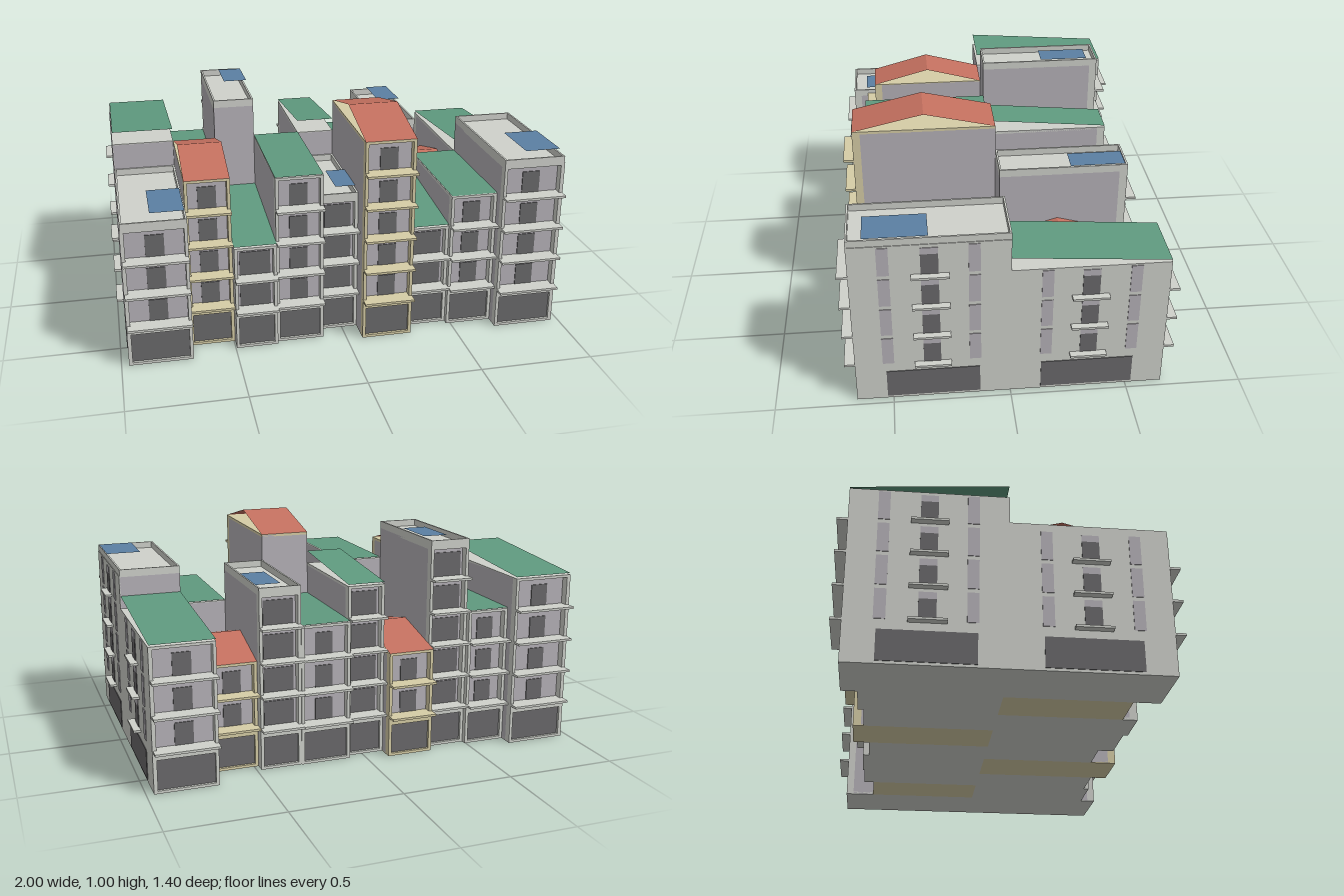
import * as THREE from 'three';

const mat = (name, color, double) => {
  const m = new THREE.MeshStandardMaterial({ color });
  m.name = name;
  if (double) m.side = THREE.DoubleSide;
  return m;
};
const M = {
  white: mat('pale plaster', 0xcfd1cb),
  grey: mat('grey wall', 0xb6b2b8),
  cream: mat('cream plaster', 0xd6cda6),
  dark: mat('dark glass', 0x6a696b),
  green: mat('green roof', 0x5f9a7f, true),
  red: mat('red roof', 0xc4705f, true),
  blue: mat('blue skylight', 0x5b80a3, true),
};

const GROUND = 0.18, STOREY = 0.15, RECESS = 0.035;

// Box given by its two corners, in any order
function box(parent, name, m, x0, x1, y0, y1, z0, z1) {
  const mesh = new THREE.Mesh(
    new THREE.BoxGeometry(Math.abs(x1 - x0), Math.abs(y1 - y0), Math.abs(z1 - z0)), m);
  mesh.position.set((x0 + x1) / 2, (y0 + y1) / 2, (z0 + z1) / 2);
  mesh.name = name;
  parent.add(mesh);
}

// Thin roof sheet between two z,y points, spanning x0..x1, facing up
function sheet(parent, name, m, x0, x1, za, ya, zb, yb) {
  if (za > zb) [za, ya, zb, yb] = [zb, yb, za, ya];
  const g = new THREE.BufferGeometry();
  g.setAttribute('position', new THREE.Float32BufferAttribute(
    [x0, ya, za, x1, ya, za, x0, yb, zb, x1, yb, zb], 3));
  g.setIndex([0, 2, 1, 1, 2, 3]);
  g.computeVertexNormals();
  const mesh = new THREE.Mesh(g, m);
  mesh.name = name;
  parent.add(mesh);
}

// One house of the row: s is +1 for the front row, -1 for the back row
function house({ x0, x1, s, depth, floors, roof, wide, sky }) {
  const g = new THREE.Group();
  g.name = (s > 0 ? 'front' : 'back') + 'House';
  const h = GROUND + floors * STOREY;
  const trim = roof === 'gable' ? M.cream : M.white;
  const zf = s * depth, zw = s * (depth - RECESS), xc = (x0 + x1) / 2;

  box(g, 'body', M.grey, x0, x1, 0.004, h - 0.004, 0, zw);
  box(g, 'foundation', trim, x0, x1, 0, 0.012, 0, zf);
  box(g, 'roofDeck', trim, x0, x1, h - 0.012, h, 0, zf);

  // Front frame: end piers and floor bands
  box(g, 'pier', trim, x0, x0 + 0.014, 0, h, zw, zf);
  box(g, 'pier', trim, x1 - 0.014, x1, 0, h, zw, zf);
  box(g, 'shopBand', trim, x0, x1, 0.147, GROUND, zw, zf);
  box(g, 'shopWindow', M.dark, x0 + 0.014, x1 - 0.014, 0.012, 0.147, zw, zf - s * 0.012);

  for (let i = 0; i < floors; i++) {
    const y = GROUND + i * STOREY;
    box(g, 'balcony', trim, x0, x1, y, y + 0.01, zw, zf + s * 0.045);
    const hw = wide ? (x1 - x0) / 2 - 0.025 : 0.04;
    box(g, 'window', M.dark, xc - hw, xc + hw, y + 0.01, y + (wide ? 0.118 : 0.108), zw, zw + s * 0.004);
  }

  if (roof === 'flat') {
    const t = h + 0.03, e = 0.008;
    box(g, 'parapet', M.white, x0, x0 + e, h, t, 0, zf);
    box(g, 'parapet', M.white, x1 - e, x1, h, t, 0, zf);
    box(g, 'parapet', M.white, x0, x1, h, t, 0, s * e);
    box(g, 'parapet', M.white, x0, x1, h, t, zf - s * e, zf);
    sheet(g, 'skylight', M.blue, sky[0], sky[1], sky[2], h + 0.042, sky[3], h + 0.042);
  } else if (roof === 'gable') {
    sheet(g, 'innerSlope', M.red, x0, x1, 0, h, zf / 2, h + 0.072);
    sheet(g, 'outerSlope', M.red, x0, x1, zf / 2, h + 0.072, zf, h);
  } else if (roof === 'shed') {
    sheet(g, 'shedRoof', M.green, x0, x1, 0, h + 0.058, zf, h + 0.008);
  } else {
    sheet(g, 'greenRoof', M.green, x0, x1, 0, h + 0.004, zf, h + 0.004);
  }
  return g;
}

// Outer end facade of a corner house, on side sx
function endFacade(sx, s, depth, floors) {
  const g = new THREE.Group();
  g.name = 'endFacade';
  const h = GROUND + floors * STOREY, a = 0.962 * sx, b = 0.968 * sx, c = 0.971 * sx;
  box(g, 'endWall', M.white, a, b, 0, h, 0, s * depth);
  box(g, 'endShopWindow', M.dark, a, c, 0.012, 0.145, s * 0.13, s * 0.525);
  for (let i = 0; i < floors; i++) {
    const y = GROUND + i * STOREY;
    for (const z of [0.125, 0.49])
      box(g, 'wallStrip', M.grey, a, c, y + 0.01, y + 0.142, s * z, s * (z + 0.048));
    box(g, 'stripAbove', M.grey, a, c, y + 0.105, y + 0.135, s * 0.293, s * 0.365);
    box(g, 'endWindow', M.dark, a, c, y + 0.01, y + 0.105, s * 0.293, s * 0.365);
    box(g, 'endBalcony', M.white, b, sx, y, y + 0.01, s * 0.25, s * 0.405);
  }
  return g;
}

export function createModel() {
  const root = new THREE.Group();
  root.name = 'apartmentBlock';
  const X = [-0.965, -0.69, -0.495, -0.31, -0.1, 0.07, 0.295, 0.48, 0.69, 0.965];
  // depth, storeys above ground, roof kind, skylight x0 x1 z0 z1
  const front = [
    [0.655, 3, 'flat', [-0.84, -0.695, 0.33, 0.59]],
    [0.54, 4, 'gable'],
    [0.605, 2, 'shed'],
    [0.585, 4, 'green'],
    [0.515, 3, 'flat', [-0.02, 0.07, 0.255, 0.46]],
    [0.633, 5, 'gable'],
    [0.56, 2, 'shed'],
    [0.585, 3, 'green'],
    [0.655, 4, 'flat', [0.81, 0.97, 0.33, 0.59]],
  ];
  const back = [
    [0.658, 4, 'shed'],
    [0.59, 3, 'green'],
    [0.565, 5, 'flat', [-0.41, -0.3, -0.51, -0.285]],
    [0.613, 2, 'gable'],
    [0.542, 4, 'shed'],
    [0.57, 3, 'green'],
    [0.565, 4, 'flat', [0.38, 0.49, -0.55, -0.31]],
    [0.52, 2, 'gable'],
    [0.658, 3, 'shed'],
  ];
  for (const [row, s] of [[front, 1], [back, -1]]) {
    row.forEach(([depth, floors, roof, sky], i) => {
      const wide = i === 2 || i === 4 || i === 6;
      root.add(house({ x0: X[i], x1: X[i + 1], s, depth, floors, roof, wide, sky }));
      if (i === 0) root.add(endFacade(-1, s, depth, floors));
      if (i === 8) root.add(endFacade(1, s, depth, floors));
    });
  }
  return root;
}
